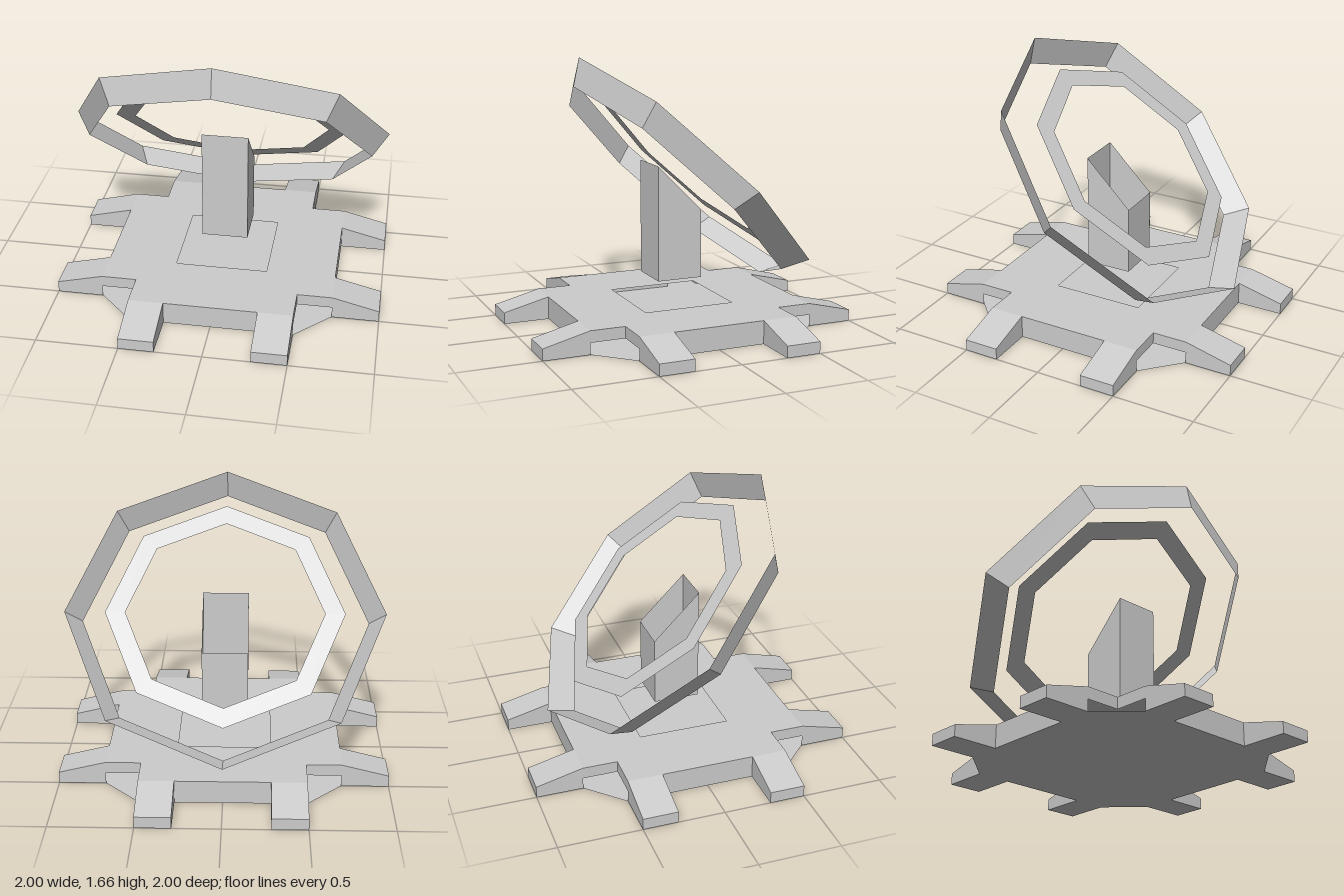
import * as THREE from 'three';

const U = 1 / 14; // modelling grid unit

export function createModel() {
  const model = new THREE.Group();
  const grey = new THREE.MeshStandardMaterial({ color: 0xcccccc, side: THREE.DoubleSide, flatShading: true });
  grey.name = 'light grey';

  const add = (parent, name, geometry) => {
    const mesh = new THREE.Mesh(geometry, grey);
    mesh.name = name;
    parent.add(mesh);
    return mesh;
  };

  // Convex panels given as corner loops in grid units
  const panels = (loops) => {
    const pos = [];
    for (const loop of loops) {
      for (let i = 1; i < loop.length - 1; i++) {
        for (const p of [loop[0], loop[i], loop[i + 1]]) pos.push(p[0] * U, p[1] * U, p[2] * U);
      }
    }
    const g = new THREE.BufferGeometry();
    g.setAttribute('position', new THREE.Float32BufferAttribute(pos, 3));
    g.computeVertexNormals();
    return g;
  };

  // Outline repeated around four sides
  const fourfold = (side) => {
    const pts = [];
    for (let k = 0; k < 4; k++) {
      for (const [x, y] of side) {
        pts.push(new THREE.Vector2(x * U, y * U).rotateAround(new THREE.Vector2(), k * Math.PI / 2));
      }
    }
    return pts;
  };

  // Base: hollow shell with a top deck, open in the middle, and a floor sheet
  const base = new THREE.Group();
  base.name = 'base';
  model.add(base);
  const deck = new THREE.Shape(fourfold([[10, -7], [10, 7], [7, 7]]));
  deck.holes.push(new THREE.Path(fourfold([[4, -4]]).reverse()));
  add(base, 'deck', new THREE.ShapeGeometry(deck).rotateX(-Math.PI / 2).translate(0, 2 * U, 0));
  const floor = new THREE.Shape(fourfold(
    [[10, -7], [14, -7], [14, -4], [10, -4], [10, 4], [14, 4], [14, 7], [10, 7]]));
  add(base, 'floor', new THREE.ShapeGeometry(floor).rotateX(Math.PI / 2));

  // Four sides, each with a wall and two sloping feet
  for (let k = 0; k < 4; k++) {
    const side = new THREE.Group();
    side.name = 'baseSide';
    side.rotation.y = k * Math.PI / 2;
    base.add(side);
    add(side, 'sideWall', panels([[[-4, 0, 10], [4, 0, 10], [4, 2, 10], [-4, 2, 10]]]));
    for (const s of [1, -1]) {
      const loops = [
        [[4, 2, 10], [4, 1, 14], [7, 1, 14], [7, 2, 10]],   // sloping top
        [[4, 0, 14], [7, 0, 14], [7, 1, 14], [4, 1, 14]],   // toe
        [[7, 0, 10], [7, 2, 10], [7, 1, 14], [7, 0, 14]],   // outer cheek
        [[4, 0, 10], [4, 0, 14], [4, 1, 14], [4, 2, 10]],   // inner cheek
        [[7, 1, 7], [7, 2, 7], [7, 2, 10], [7, 1, 10]],     // apron over the corner opening
      ].map((loop) => {
        const l = loop.map(([x, y, z]) => [s * x, y, z]);
        return s < 0 ? l.reverse() : l;
      });
      add(side, s > 0 ? 'leftFoot' : 'rightFoot', panels(loops));
    }
  }

  // Post: open square tube with its top cut parallel to the dish
  const corners = [[-2, 2], [2, 2], [2, -2], [-2, -2]];
  add(model, 'post', panels(corners.map(([x, z], i) => {
    const [x2, z2] = corners[(i + 1) % 4];
    return [[x, 4, z], [x2, 4, z2], [x2, 12 + z2, z2], [x, 12 + z, z]];
  })));

  // Dish: tapered octagonal band and a flat octagonal ring in its rear plane
  const dish = new THREE.Group();
  dish.name = 'dish';
  dish.position.set(0, 0.912, -0.053);
  dish.rotation.x = -Math.PI / 4;
  model.add(dish);
  add(dish, 'dishBand', new THREE.CylinderGeometry(0.98, 0.885, 0.148, 8, 1, true));
  add(dish, 'dishRing', new THREE.RingGeometry(0.608, 0.732, 8, 1).rotateX(-Math.PI / 2)).position.y = 0.074;

  return model;
}
